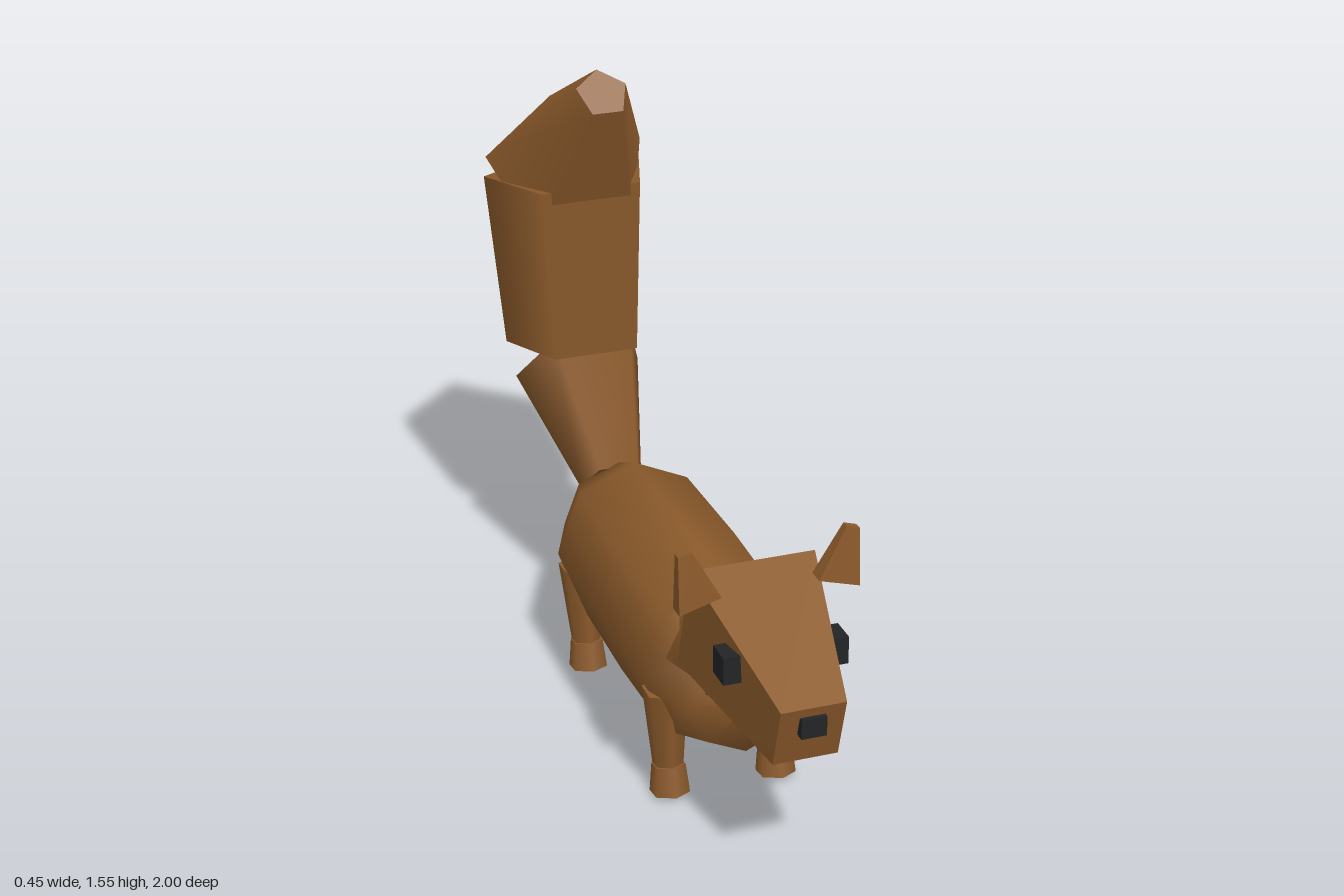
import * as THREE from 'three';

export function createModel() {
  const model = new THREE.Group();
  const material = (name, color) => {
    const m = new THREE.MeshStandardMaterial({ color });
    m.name = name;
    return m;
  };
  const fur = material('brown fur', 0x8b5a2b);
  const cream = material('cream belly', 0xf0e8d8);
  const black = material('black', 0x222426);

  const add = (name, geometry, mat) => {
    const mesh = new THREE.Mesh(geometry, mat);
    mesh.name = name;
    model.add(mesh);
    return mesh;
  };

  // Tapered prism between two [z, y] centres, with one corner facing back
  const taper = (name, [z0, y0], [z1, y1], r0, r1, sides, x0 = 0, x1 = x0) => {
    const a = new THREE.Vector3(x0, y0, z0), b = new THREE.Vector3(x1, y1, z1);
    const g = new THREE.CylinderGeometry(r1, r0, a.distanceTo(b), sides, 1, false, Math.PI);
    g.rotateX(Math.atan2(z1 - z0, y1 - y0));
    g.rotateZ(-Math.atan2(x1 - x0, y1 - y0));
    const mesh = add(name, g, fur);
    mesh.position.copy(a).add(b).multiplyScalar(0.5);
    return mesh;
  };

  // Turned form lying along z, from [radius, z] points
  const turned = (name, profile, y, widthScale, mat) => {
    const g = new THREE.LatheGeometry(profile.map(p => new THREE.Vector2(...p)), 8);
    g.rotateX(Math.PI / 2);
    g.scale(widthScale, 1, 1);
    g.translate(0, y, 0);
    return add(name, g, mat);
  };

  // Box whose corners are placed by a rule on their signs
  const shapedBox = (name, rule, mat) => {
    const g = new THREE.BoxGeometry(2, 2, 2);
    const p = g.attributes.position;
    for (let i = 0; i < p.count; i++) {
      p.setXYZ(i, ...rule(p.getX(i), p.getY(i), p.getZ(i)));
    }
    g.computeVertexNormals();
    return add(name, g, mat);
  };

  // Body and belly patch
  turned('body', [[0, -0.465], [0.155, -0.42], [0.232, -0.26], [0.238, 0.08],
    [0.23, 0.41], [0.155, 0.575], [0, 0.62]], 0.345, 0.9, fur);
  turned('belly', [[0, -0.05], [0.05, 0], [0.075, 0.19], [0.045, 0.36], [0, 0.42]],
    0.16, 1.6, cream);

  // Neck and wedge-shaped head
  taper('neck', [0.42, 0.39], [0.63, 0.535], 0.17, 0.13, 8);
  shapedBox('head', (x, y, z) => {
    const [pz, py] = z > 0 ? (y > 0 ? [0.995, 0.55] : [0.95, 0.39])
      : (y > 0 ? [0.6, 0.725] : [0.525, 0.44]);
    return [x * (z > 0 ? 0.08 : 0.157), py, pz];
  }, fur);
  shapedBox('nose', (x, y, z) => [x * 0.031, 0.5 + y * 0.025, z > 0 ? 1 : 0.96], black);

  // Ears and eyes
  for (const s of [1, -1]) {
    const side = s > 0 ? 'left' : 'right';
    shapedBox(side + 'Ear', (x, y, z) => {
      const outer = x * s > 0;
      const px = outer ? 0.223 : (y > 0 ? 0.19 : 0.12);
      const py = y > 0 ? (outer ? 0.825 : 0.835) : (outer ? 0.68 : 0.71);
      return [s * px, py, 0.698 + z * (y > 0 ? 0.011 : 0.022)];
    }, fur);
    shapedBox(side + 'Eye',
      (x, y, z) => [s * 0.132 + x * 0.022, 0.577 + y * 0.035, 0.79 + z * 0.034], black);
  }

  // Legs and feet
  for (const s of [1, -1]) {
    const side = s > 0 ? 'left' : 'right';
    for (const [end, z] of [['Front', 0.41], ['Hind', -0.24]]) {
      const lean = end === 'Front' ? 0 : -0.02;
      taper(side + end + 'Leg', [z - 0.005, 0.085], [z + lean, 0.305], 0.039, 0.057, 6,
        s * 0.14, s * 0.15);
      taper(side + end + 'Foot', [z + 0.01, 0.014], [z, 0.088], 0.051, 0.043, 6, s * 0.14);
    }
  }

  // Upright tail in three five-sided pieces
  taper('tailBase', [-0.431, 0.451], [-0.695, 0.687], 0.09, 0.182, 5);
  taper('tailMiddle', [-0.719, 0.737], [-0.774, 1.193], 0.194, 0.228, 5);
  taper('tailTip', [-0.778, 1.197], [-0.486, 1.51], 0.226, 0.069, 5);

  return model;
}
